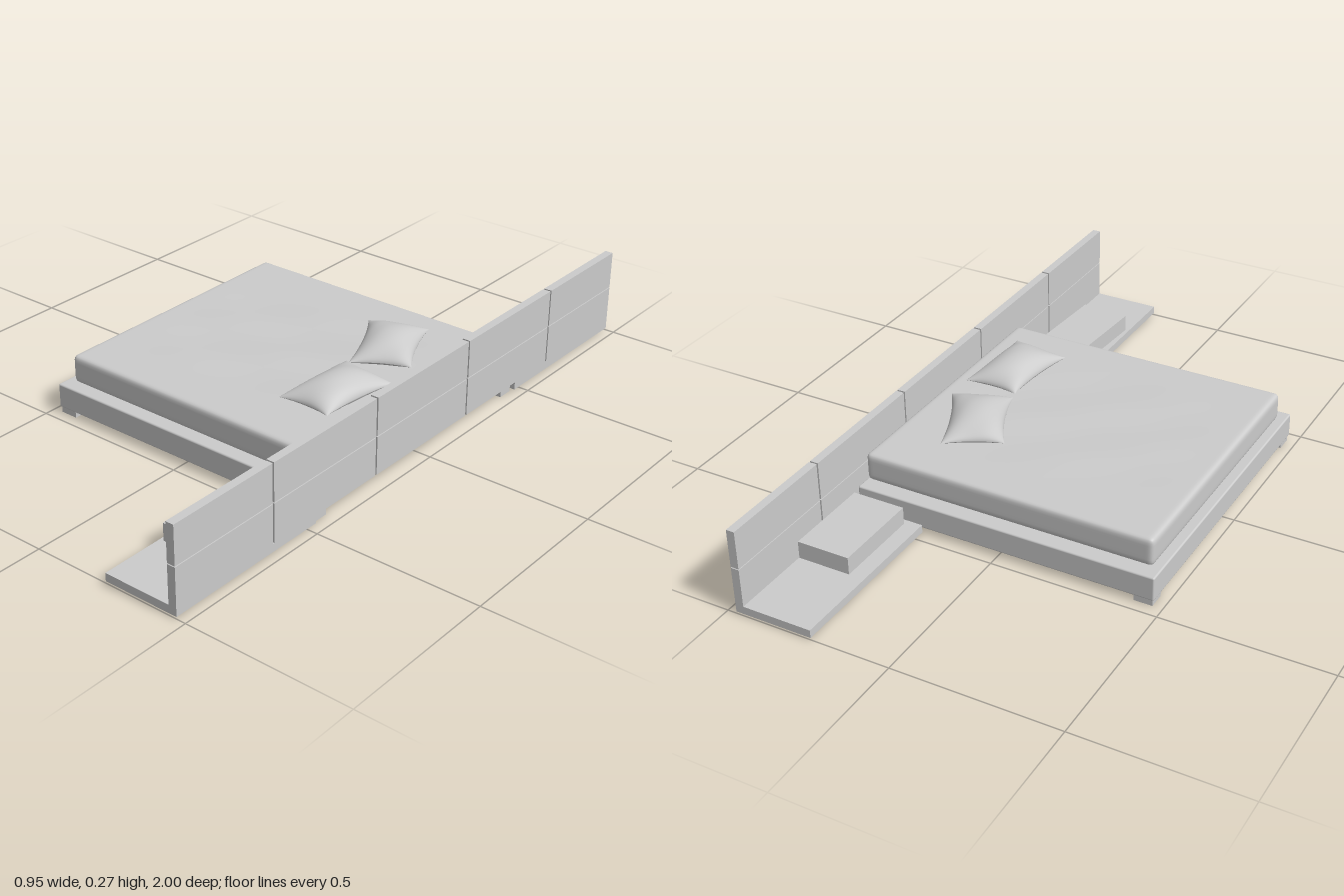
import * as THREE from 'three';
import { mergeVertices } from 'three/addons/utils/BufferGeometryUtils.js';
import { RoundedBoxGeometry } from 'three/addons/geometries/RoundedBoxGeometry.js';

const grey = new THREE.MeshStandardMaterial({ color: 0xcccccc });

function add(parent, name, geometry) {
  const mesh = new THREE.Mesh(geometry, grey);
  mesh.name = name;
  parent.add(mesh);
  return mesh;
}

// Box from its minimum and maximum corners, optionally with rounded edges
function block(parent, name, [x0, y0, z0], [x1, y1, z1], radius = 0) {
  const size = [x1 - x0, y1 - y0, z1 - z0];
  const geometry = radius ? new RoundedBoxGeometry(...size, 3, radius) : new THREE.BoxGeometry(...size);
  const mesh = add(parent, name, geometry);
  mesh.position.set((x0 + x1) / 2, (y0 + y1) / 2, (z0 + z1) / 2);
  return mesh;
}

function smooth(geometry) {
  geometry.deleteAttribute('normal');
  geometry.deleteAttribute('uv');
  const merged = mergeVertices(geometry, 1e-5);
  merged.computeVertexNormals();
  return merged;
}

// Soft rounded box with faint diagonal creases in the top
function mattressGeometry(w, h, d, r) {
  const g = new THREE.BoxGeometry(w, h, d, 56, 12, 56);
  const p = g.attributes.position;
  const half = new THREE.Vector3(w / 2, h / 2, d / 2);
  const inner = half.clone().subScalar(r);
  const v = new THREE.Vector3(), c = new THREE.Vector3();
  for (let i = 0; i < p.count; i++) {
    v.fromBufferAttribute(p, i);
    // crowd the rows towards the edges, then round them
    for (const k of ['x', 'y', 'z']) v[k] = half[k] * Math.sin(v[k] / half[k] * Math.PI / 2);
    c.copy(v).clamp(inner.clone().negate(), inner);
    v.sub(c).setLength(r).add(c);
    const fade = (1 - (v.x / half.x) ** 2) * (1 - (v.z / half.z) ** 2);
    if (v.y > inner.y) {
      v.y += 0.0016 * fade * Math.sin(16 * v.x + 11 * v.z + 2 * Math.sin(5 * v.z))
        + 0.001 * fade * Math.sin(25 * v.z - 9 * v.x);
    }
    p.setXYZ(i, v.x, v.y, v.z);
  }
  return smooth(g);
}

// Cushion: two bulging sheets meeting in a seam with pulled-out corners
function addPillow(parent, name, width, length, seed) {
  const pillow = new THREE.Group();
  pillow.name = name;
  for (const side of [1, -1]) {
    const g = new THREE.PlaneGeometry(2, 2, 28, 28);
    g.rotateX(-side * Math.PI / 2);
    const p = g.attributes.position;
    for (let i = 0; i < p.count; i++) {
      const u = Math.sin(p.getX(i) * Math.PI / 2), v = Math.sin(p.getZ(i) * Math.PI / 2);
      const a = Math.max(0, 1 - u * u), b = Math.max(0, 1 - v * v);
      const bulge = Math.pow(a * b, 0.55);
      const crease = 1 + 0.07 * Math.sin(5 * u + 4 * v + seed) * (1 - bulge);
      p.setXYZ(i,
        u * width / 2 * (1 - 0.13 * b),
        side * (side > 0 ? 0.044 : 0.026) * bulge * crease + 0.004 * u * v,
        v * length / 2 * (1 - 0.09 * a));
    }
    add(pillow, side > 0 ? 'pillowTop' : 'pillowBottom', smooth(g));
  }
  parent.add(pillow);
  return pillow;
}

export function createModel() {
  const model = new THREE.Group();
  model.name = 'bed';

  // Platform and its feet
  block(model, 'bedFrame', [-0.475, 0.018, -0.467], [0.447, 0.092, 0.467], 0.005);
  for (const x of [-0.47, 0.405]) {
    for (const z of [-0.463, 0.413]) block(model, 'bedFoot', [x, 0, z], [x + 0.055, 0.019, z + 0.05]);
  }

  // Mattress
  add(model, 'mattress', mattressGeometry(0.895, 0.087, 0.856, 0.016)).position.set(-0.003, 0.1345, 0.002);

  // Headboard: ten panels on a recessed core that shows in the gaps
  const headboard = new THREE.Group();
  headboard.name = 'headboard';
  model.add(headboard);
  block(headboard, 'headboardCore', [0.452, 0.034, -0.997], [0.467, 0.261, 0.997]);
  const columns = [-1, -0.64, -0.213, 0.213, 0.64, 1], rows = [0.03, 0.148, 0.265], gap = 0.003;
  for (let i = 0; i < 5; i++) {
    for (let j = 0; j < 2; j++) {
      block(headboard, 'headboardPanel',
        [0.447, rows[j] + (j ? gap / 2 : 0), columns[i] + (i ? gap : 0)],
        [0.472, rows[j + 1] - (j ? 0 : gap / 2), columns[i + 1] - (i < 4 ? gap : 0)]);
    }
  }

  // Low side shelves on small pads
  for (const s of [-1, 1]) {
    const z0 = s > 0 ? 0.47 : -1;
    block(model, 'sideShelf', [0.237, 0.006, z0], [0.472, 0.03, z0 + 0.53]);
    for (const x of [0.25, 0.425]) {
      for (const z of [0.5, 0.975]) block(model, 'shelfPad', [x, 0.002, s * z - 0.012], [x + 0.025, 0.007, s * z + 0.012]);
    }
  }

  // Loose boxes standing on the shelves
  block(model, 'leftBox', [0.257, 0.03, 0.54], [0.413, 0.083, 0.81]).rotation.y = -0.06;
  block(model, 'rightBox', [0.285, 0.03, -0.755], [0.446, 0.083, -0.487]);

  // Pillows
  const farPillow = addPillow(model, 'farPillow', 0.18, 0.265, 1);
  farPillow.position.set(0.24, 0.204, -0.155);
  farPillow.rotation.y = 0.43;
  const nearPillow = addPillow(model, 'nearPillow', 0.175, 0.272, 3);
  nearPillow.position.set(0.289, 0.205, 0.152);
  nearPillow.rotation.y = -0.075;

  return model;
}
